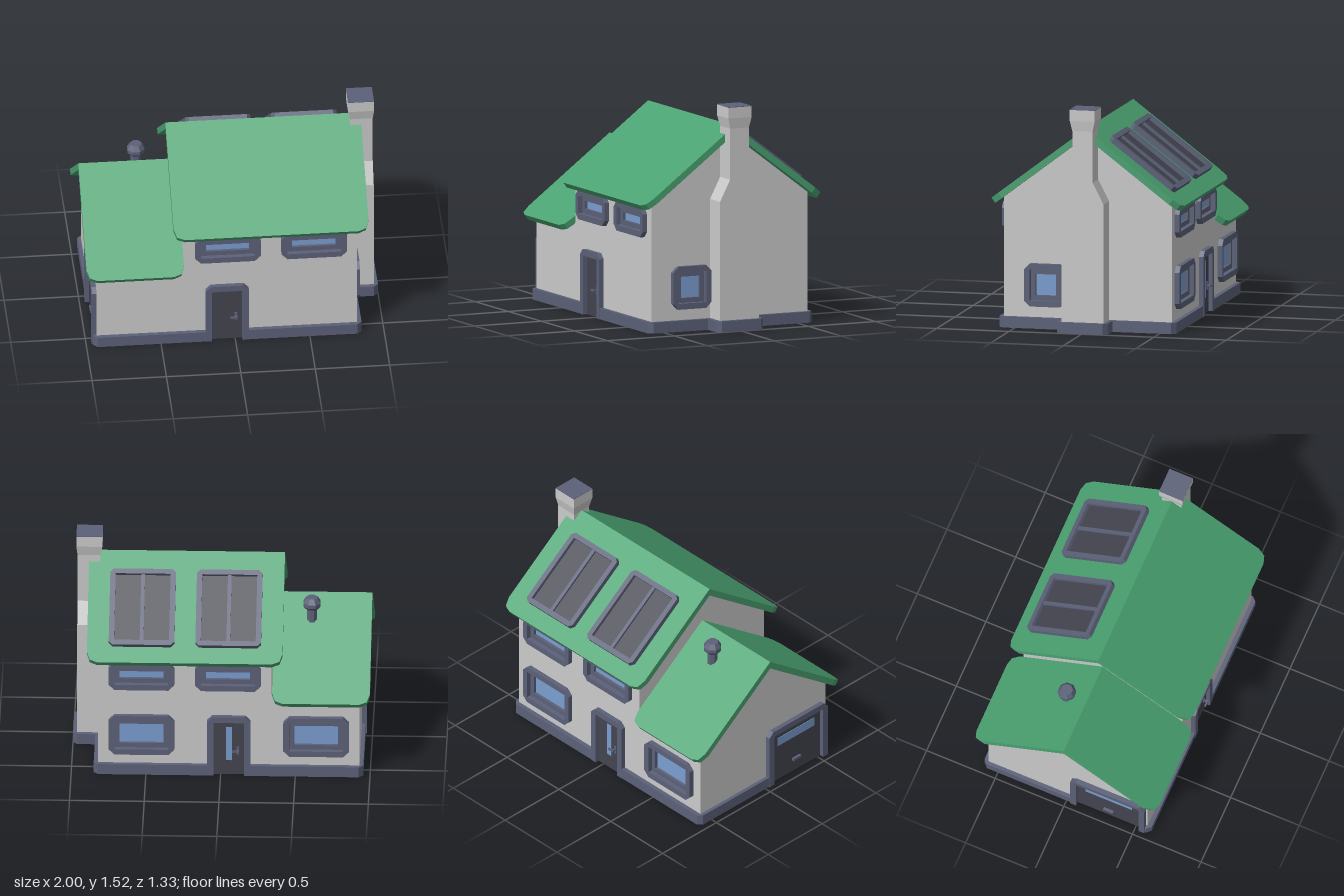
import * as THREE from 'three';

const mat = (color) => new THREE.MeshStandardMaterial({ color, flatShading: true });
const WALL = mat(0xcccccc), TRIM = mat(0x5c6178), ROOF = mat(0x4aa272);
const DARK = mat(0x43444f), GLASS = mat(0x7a9ed0);

const SLOPE = 0.757, ANGLE = Math.atan(SLOPE), HALF = 0.58;
const RIDGE = 1.375, LOW_RIDGE = 1.08;
const X0 = -0.93, XM = -0.34, X1 = 0.82;

const shapeOf = (pts) => new THREE.Shape(pts.map(([x, y]) => new THREE.Vector2(x, y)));

function add(parent, name, geometry, material, x = 0, y = 0, z = 0) {
  const mesh = new THREE.Mesh(geometry, material);
  mesh.name = name;
  mesh.position.set(x, y, z);
  parent.add(mesh);
  return mesh;
}

const box = (parent, name, material, w, h, d, x, y, z) =>
  add(parent, name, new THREE.BoxGeometry(w, h, d), material, x, y, z);

const extrude = (shape, depth) =>
  new THREE.ExtrudeGeometry(shape, { depth, bevelEnabled: false });

// Centred rectangle with cut corners
function cutRect(w, h, c) {
  const a = w / 2, b = h / 2;
  return [[-a + c, -b], [a - c, -b], [a, -b + c], [a, b - c],
    [a - c, b], [-a + c, b], [-a, b - c], [-a, -b + c]];
}

const rect = (w, h, x = 0, y = 0) =>
  [[x - w / 2, y - h / 2], [x + w / 2, y - h / 2], [x + w / 2, y + h / 2], [x - w / 2, y + h / 2]];

function ring(w, h, c, border, depth) {
  const s = shapeOf(cutRect(w, h, c));
  s.holes.push(shapeOf(rect(w - 2 * border, h - 2 * border)));
  return extrude(s, depth);
}

// Window: raised outer frame, sunken inner frame, glass behind
function makeWindow(wall, [u, v, w, h]) {
  const g = new THREE.Group();
  g.name = 'window';
  g.position.set(u, v, 0);
  wall.add(g);
  add(g, 'outerFrame', ring(w, h, 0.04, 0.04, 0.065), TRIM, 0, 0, -0.032);
  add(g, 'innerFrame', ring(w - 0.08, h - 0.08, 0, 0.033, 0.03), TRIM, 0, 0, -0.03);
  box(g, 'glass', GLASS, w - 0.1, h - 0.1, 0.01, 0, 0, -0.025);
}

// Door: surround open at the bottom, with a dark leaf
function makeDoor(wall, u, w, h) {
  const g = new THREE.Group();
  g.name = 'door';
  g.position.x = u;
  wall.add(g);
  const a = w / 2, b = 0.043, c = 0.035;
  add(g, 'doorFrame', extrude(shapeOf([[-a, 0], [-a + b, 0], [-a + b, h - b], [a - b, h - b], [a - b, 0],
    [a, 0], [a, h - c], [a - c, h], [-a + c, h], [-a, h - c]]), 0.06), TRIM, 0, 0, -0.027);
  box(g, 'doorLeaf', DARK, w - 2 * b, h - b, 0.024, 0, (h - b) / 2, -0.008);
  return g;
}

function makeHandle(door) {
  box(door, 'handlePlate', TRIM, 0.018, 0.055, 0.008, 0.06, 0.18, 0.007);
  box(door, 'handleStem', TRIM, 0.012, 0.012, 0.025, 0.06, 0.182, 0.018);
  box(door, 'handleLever', TRIM, 0.045, 0.013, 0.012, 0.045, 0.182, 0.031);
}

// Wall facing +z in its own group, with holes behind the windows
function makeWall(root, name, outline, windows, turn, x, z) {
  const g = new THREE.Group();
  g.name = name;
  g.rotation.y = turn;
  g.position.set(x, 0, z);
  root.add(g);
  const s = shapeOf(outline);
  for (const [u, v, w, h] of windows) s.holes.push(shapeOf(rect(w - 0.08, h - 0.08, u, v)));
  add(g, 'wallFace', new THREE.ShapeGeometry(s), WALL);
  windows.forEach((w) => makeWindow(g, w));
  return g;
}

// One roof slope lying in a local plane: x along the ridge, -y downhill, z outward
function makeSlope(root, name, ridge, xa, xb, back) {
  const turn = new THREE.Group();
  turn.name = name;
  turn.rotation.y = back ? Math.PI : 0;
  turn.position.y = ridge;
  root.add(turn);
  const plane = new THREE.Group();
  plane.rotation.x = ANGLE - Math.PI / 2;
  turn.add(plane);
  const [a, b] = back ? [-xb, -xa] : [xa, xb];
  const L = 0.667 / Math.cos(ANGLE);
  add(plane, 'roofSlab', extrude(shapeOf([[a, 0], [a, -L + 0.08], [a + 0.02, -L + 0.02], [a + 0.07, -L],
    [b - 0.07, -L], [b - 0.02, -L + 0.02], [b, -L + 0.08], [b, 0]]), 0.043), ROOF, 0, 0, -0.043);
  return plane;
}

// Roof panel with two panes
function makeRoofPanel(plane, x) {
  const g = new THREE.Group();
  g.name = 'roofPanel';
  g.position.set(x, -0.436, 0);
  plane.add(g);
  add(g, 'panelFrame', ring(0.44, 0.565, 0.025, 0.036, 0.045), TRIM, 0, 0, -0.01);
  box(g, 'panelPanes', DARK, 0.38, 0.5, 0.02, 0, 0, 0);
  box(g, 'panelBar', TRIM, 0.025, 0.5, 0.03, 0, 0, 0.01);
}

export function createModel() {
  const root = new THREE.Group();
  root.name = 'house';

  // Plinth with door notches and a bump under the chimney
  const plinth = [[-0.925, 0.61], [-0.158, 0.61], [-0.158, 0.58], [0.048, 0.58], [0.048, 0.61], [0.82, 0.61],
    [0.85, 0.58], [0.85, 0.175], [0.97, 0.175], [1, 0.145], [1, -0.145], [0.97, -0.175], [0.85, -0.175],
    [0.85, -0.58], [0.82, -0.61], [0.048, -0.61], [0.048, -0.58], [-0.158, -0.58], [-0.158, -0.61],
    [-0.925, -0.61], [-0.955, -0.58], [-0.955, 0.073], [-0.93, 0.073], [-0.93, 0.527], [-0.955, 0.527],
    [-0.955, 0.58]];
  add(root, 'plinth', extrude(shapeOf(plinth.map(([x, z]) => [x, -z])), 0.075).rotateX(-Math.PI / 2), TRIM);

  // Walls
  const eave = (ridge) => ridge - 0.045 - HALF * SLOPE;
  const hi = eave(RIDGE), lo = eave(LOW_RIDGE);
  const long = [[X0, 0.02], [X1, 0.02], [X1, hi], [XM, hi], [XM, lo], [X0, lo]];
  const gable = (ridge) => [[-HALF, 0.02], [HALF, 0.02], [HALF, eave(ridge)],
    [0, ridge - 0.045], [-HALF, eave(ridge)]];
  const upper = [[-0.05, 0.735, 0.44, 0.2], [0.53, 0.735, 0.44, 0.2]];
  const front = makeWall(root, 'frontWall', long, upper, 0, 0, HALF);
  const rear = [...upper, [0.53, 0.295, 0.44, 0.29], [-0.64, 0.295, 0.44, 0.29]];
  const back = makeWall(root, 'backWall', long.map(([x, y]) => [-x, y]),
    rear.map(([x, ...r]) => [-x, ...r]), Math.PI, 0, -HALF);
  makeWall(root, 'rightGable', gable(RIDGE), [[-0.292, 0.295, 0.285, 0.29]], Math.PI / 2, X1, 0);
  makeWall(root, 'middleGable', gable(RIDGE), [], -Math.PI / 2, XM, 0);
  const left = makeWall(root, 'garageGable', gable(LOW_RIDGE), [], -Math.PI / 2, X0, 0);

  // Doors
  makeHandle(makeDoor(front, -0.055, 0.29, 0.44));
  const backDoor = makeDoor(back, 0.055, 0.29, 0.44);
  makeHandle(backDoor);
  box(backDoor, 'doorGlass', GLASS, 0.04, 0.25, 0.006, 0, 0.23, 0.004);
  const garage = makeDoor(left, 0.3, 0.54, 0.44);
  box(garage, 'garageGlass', GLASS, 0.34, 0.065, 0.006, 0, 0.31, 0.004);
  box(garage, 'garageHandle', TRIM, 0.07, 0.018, 0.02, 0, 0.1, 0.012);

  // Roofs
  for (const isBack of [false, true]) {
    const slope = makeSlope(root, 'mainRoof', RIDGE, -0.415, 0.895, isBack);
    if (isBack) [0.05, -0.53].forEach((x) => makeRoofPanel(slope, x));
    makeSlope(root, 'garageRoof', LOW_RIDGE, -1, -0.345, isBack);
  }

  // Chimney: a box whose rows follow the cross-sections [y, xMin, xMax, half depth]
  const rows = [[0.02, 0.8, 0.972, 0.145], [0.88, 0.8, 0.972, 0.145], [1.025, 0.82, 0.972, 0.07],
    [1.37, 0.82, 0.972, 0.07], [1.44, 0.805, 0.98, 0.086], [1.514, 0.805, 0.98, 0.086]];
  const geo = new THREE.BoxGeometry(1, 1, 1, 1, rows.length - 1, 1);
  const p = geo.attributes.position;
  for (let i = 0; i < p.count; i++) {
    const [y, xa, xb, d] = rows[Math.round((p.getY(i) + 0.5) * (rows.length - 1))];
    p.setXYZ(i, p.getX(i) < 0 ? xa : xb, y, Math.sign(p.getZ(i)) * d);
  }
  geo.computeVertexNormals();
  add(root, 'chimney', geo, WALL);
  box(root, 'chimneyTop', TRIM, 0.175, 0.004, 0.172, 0.8925, 1.515, 0);

  // Roof vent
  const vent = [[0.036, 0.9], [0.036, 1.03], [0.046, 1.035], [0.062, 1.055], [0.062, 1.08], [0.04, 1.115], [0, 1.115]];
  add(root, 'roofVent', new THREE.LatheGeometry(vent.map(([r, y]) => new THREE.Vector2(r, y)), 8, Math.PI / 8),
    TRIM, -0.6, 0, -0.15);

  return root;
}
